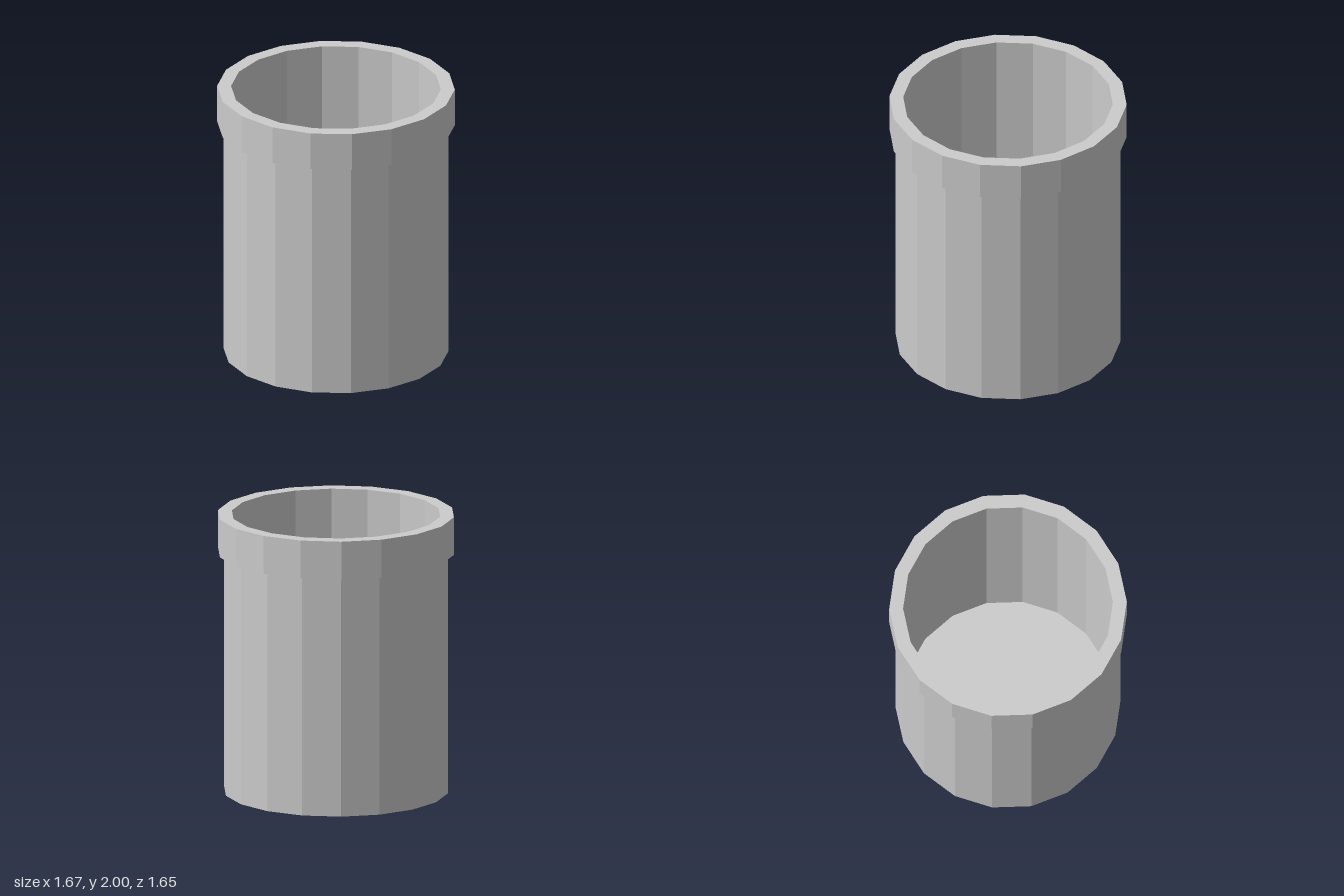
import * as THREE from 'three';

const SIDES = 18;
const OUTER = 0.793, INNER = 0.738, RIM = 0.836;
const RIM_Y = 1.727, TOP = 2, FLOOR = 0.06;

export function createModel() {
  const group = new THREE.Group();
  const material = new THREE.MeshStandardMaterial({ color: 0xcccccc, flatShading: true });

  // Faceted turned part with a corner on the x axis
  const turned = (name, profile) => {
    const points = profile.map(([r, y]) => new THREE.Vector2(r, y));
    const mesh = new THREE.Mesh(new THREE.LatheGeometry(points, SIDES, Math.PI / 2), material);
    mesh.name = name;
    group.add(mesh);
  };

  // Cup body: underside, outer wall
  turned('body', [[0, 0], [OUTER, 0], [OUTER, RIM_Y]]);

  // Hollow interior: wall down to the floor
  turned('interior', [[INNER, RIM_Y], [INNER, FLOOR], [0, FLOOR]]);

  // Raised collar: ledge, outer band, top edge, inner band
  turned('rim', [[OUTER, RIM_Y], [RIM, RIM_Y], [RIM, TOP], [INNER, TOP], [INNER, RIM_Y]]);

  return group;
}
